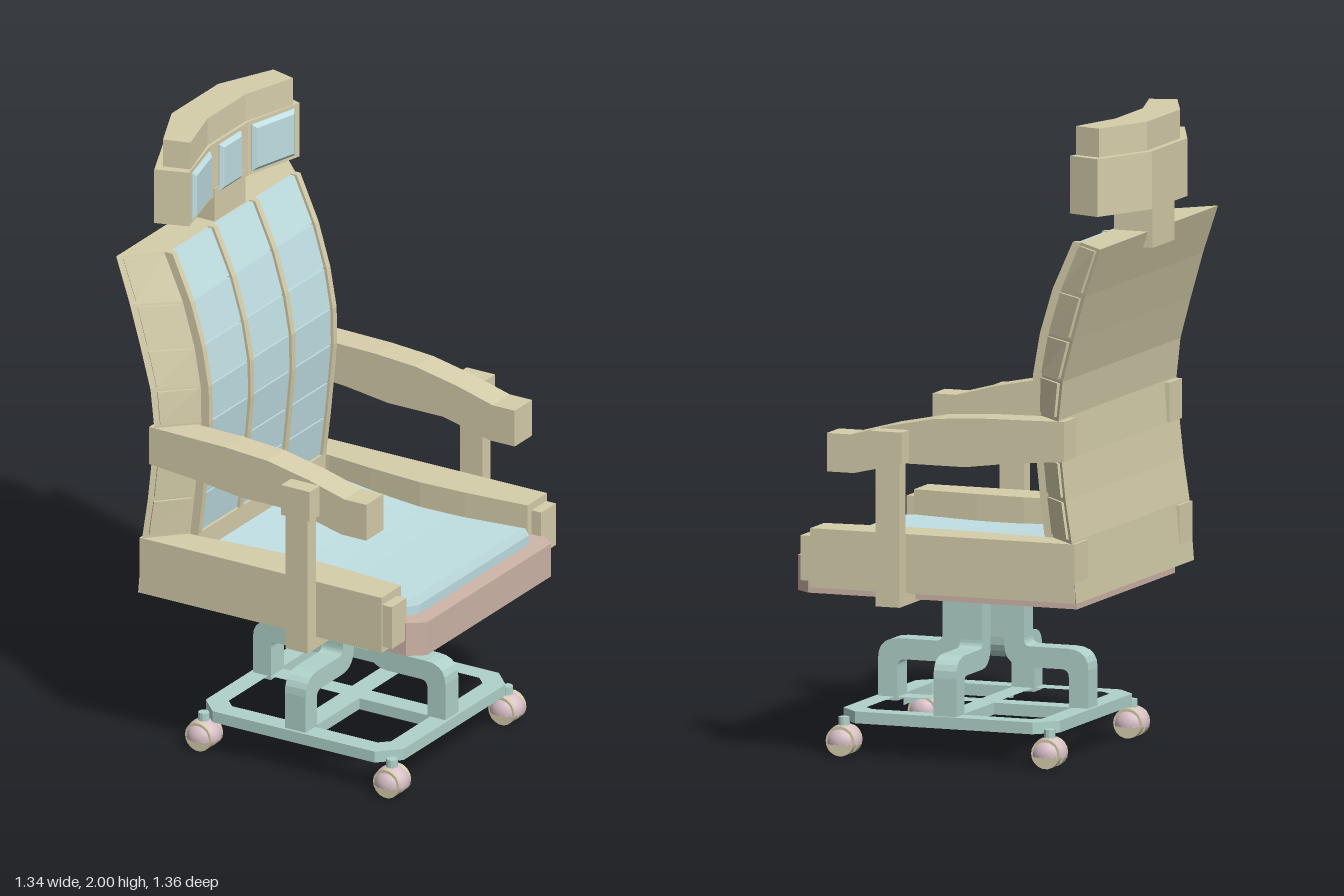
import * as THREE from 'three';

const mat = (color, flat = true) => new THREE.MeshStandardMaterial({ color, flatShading: flat });
const TAN = mat(0xd6ceab), GLASS = mat(0xc0dfe3), PINK = mat(0xcfb5a8), STEEL = mat(0xb0d2ca);
const HOOD = mat(0xd8bfc8, false), WHEEL = mat(0xd6ceab, false);

// backrest profile: height, front depth, rear depth
const BACK = [
  [0.54, -0.28, -0.42], [0.73, -0.278, -0.405], [0.86, -0.262, -0.385], [0.98, -0.25, -0.372],
  [1.11, -0.238, -0.362], [1.23, -0.24, -0.375], [1.36, -0.263, -0.41], [1.5, -0.305, -0.45],
  [1.65, -0.372, -0.5],
];

export function createModel() {
  const model = new THREE.Group();
  const chair = new THREE.Group();
  chair.name = 'chair';
  chair.rotation.y = 0.562;
  model.add(chair);

  const add = (name, geo, material, parent = chair) => {
    const m = new THREE.Mesh(geo, material);
    m.name = name;
    parent.add(m);
    return m;
  };
  const box = (name, x0, x1, y0, y1, z0, z1, material, parent) => {
    const m = add(name, new THREE.BoxGeometry(Math.abs(x1 - x0), y1 - y0, z1 - z0), material, parent);
    m.position.set((x0 + x1) / 2, (y0 + y1) / 2, (z0 + z1) / 2);
    return m;
  };
  const toShape = (pts, flip) => new THREE.Shape(pts.map(([a, b]) => new THREE.Vector2(a, flip ? -b : b)));
  // plan outline [x, z] raised from y0 to y1
  const prismY = (pts, y0, y1, holes = []) => {
    const s = toShape(pts, true);
    holes.forEach((h) => s.holes.push(toShape(h, true)));
    return new THREE.ExtrudeGeometry(s, { depth: y1 - y0, bevelEnabled: false })
      .rotateX(-Math.PI / 2).translate(0, y0, 0);
  };
  // side outline [z, y] spanning x0 to x1
  const prismX = (shape, x0, x1) =>
    new THREE.ExtrudeGeometry(shape, { depth: x1 - x0, bevelEnabled: false, curveSegments: 5 })
      .rotateY(-Math.PI / 2).translate(x1, 0, 0);
  // convex plan section lofted through backrest levels
  const loft = (levels, section) => {
    const rings = levels.map(([y, f, b]) => section(f, b).map(([x, z]) => [x, y, z]));
    const pos = [];
    const tri = (...p) => p.forEach((v) => pos.push(...v));
    const n = rings[0].length, top = rings[rings.length - 1];
    for (let k = 0; k + 1 < rings.length; k++) {
      for (let i = 0; i < n; i++) {
        const j = (i + 1) % n, A = rings[k], B = rings[k + 1];
        tri(A[i], A[j], B[j]);
        tri(A[i], B[j], B[i]);
      }
    }
    for (let i = 1; i + 1 < n; i++) {
      tri(top[0], top[i], top[i + 1]);
      tri(rings[0][0], rings[0][i + 1], rings[0][i]);
    }
    const g = new THREE.BufferGeometry();
    g.setAttribute('position', new THREE.Float32BufferAttribute(pos, 3));
    g.computeVertexNormals();
    return g;
  };
  const slab = (x0, x1, out, deep) => (f) => [[x0, f + out], [x1, f + out], [x1, f - deep], [x0, f - deep]];

  // backrest shell with angled side wings
  add('backrestShell', loft(BACK, (f, b) => [[-0.365, f - 0.015], [0.365, f - 0.015], [0.48, b], [-0.48, b]]), TAN);
  const upper = BACK.slice(1);
  for (const x of [-0.36, -0.12, 0.12, 0.36]) {
    add('backrestRib', loft(upper, slab(x - 0.011, x + 0.011, 0.008, 0.03)), TAN);
  }
  box('lowerBackStrip', -0.37, 0.37, 0.62, 0.73, -0.33, -0.272, TAN);

  // glazed panels and wing panels, row by row
  for (let k = 0; k + 1 < upper.length; k++) {
    const a = upper[k], b = upper[k + 1];
    const trim = (t) => a.map((v, i) => v + (b[i] - v) * t);
    const row = [trim(0.02), trim(0.98)];
    for (const x of [-0.24, 0, 0.24]) {
      add('backrestPanel', loft(row, slab(x - 0.107, x + 0.107, 0, 0.025)), GLASS);
    }
    for (const s of [-1, 1]) {
      const wing = (f, r) => {
        const at = (t, o) => [s * (0.365 + 0.115 * t + o), f - 0.015 + (r - f + 0.015) * t + o];
        const p = [at(0.12, 0.006), at(0.88, 0.006), at(0.88, -0.01), at(0.12, -0.01)];
        return s > 0 ? p : p.reverse();
      };
      add('wingPanel', loft([trim(0.06), trim(0.94)], wing), TAN);
    }
  }

  // headrest
  const mirror = (half) => [...half, ...half.map(([x, z]) => [-x, z]).reverse()];
  add('headrestBand', prismY(mirror([[0.11, -0.39], [0.32, -0.335], [0.355, -0.44], [0.145, -0.535]]), 1.73, 1.91), TAN);
  add('headrestCrown', prismY(mirror([[0.11, -0.40], [0.297, -0.345], [0.32, -0.43], [0.135, -0.515]]), 1.9, 2.0), TAN);
  box('headrestNeck', -0.09, 0.09, 1.6, 1.76, -0.515, -0.387, TAN);
  const pane = (width, x, z, turn) => {
    const w = width / 2 - 0.012, h = 0.066;
    const g = new THREE.ExtrudeGeometry(toShape([[-w, -h], [w, -h], [w, h], [-w, h]]),
      { depth: 0.004, bevelThickness: 0.01, bevelSize: 0.012, bevelSegments: 1 });
    const m = add('headrestPane', g, GLASS);
    m.position.set(x, 1.82, z);
    m.rotation.y = turn;
  };
  pane(0.125, 0, -0.39, 0);
  for (const s of [-1, 1]) pane(0.18, s * 0.21, -0.364, -s * 0.256);

  // seat base and cushion
  add('seatBase', prismY(mirror([[0.4, -0.39], [0.4, 0.505], [0.36, 0.555]]), 0.51, 0.62), PINK);
  const cushion = new THREE.BoxGeometry(0.75, 0.05, 0.78, 1, 1, 8);
  const p = cushion.attributes.position;
  for (let i = 0; i < p.count; i++) {
    const t = p.getZ(i) / 0.78 + 0.5;
    const x = t > 0.99 ? p.getX(i) * 0.85 : p.getX(i);
    const z = t > 0.85 && t < 0.99 ? 0.45 : p.getZ(i) + 0.11;
    const y = p.getY(i) > 0 ? 0.65 - 0.015 * Math.sin(Math.PI * t) + 0.015 * (1 - t) : 0.6;
    p.setXYZ(i, x, y, z);
  }
  add('seatCushion', cushion, GLASS);

  // rails, arms and posts on both sides
  const armShape = toShape([
    [-0.38, 0.98], [-0.2, 0.965], [-0.05, 0.945], [0.15, 0.945], [0.32, 0.905], [0.41, 0.905],
    [0.41, 1.025], [0.33, 1.025], [0.2, 1.06], [0.05, 1.09], [-0.1, 1.1], [-0.38, 1.105],
  ]);
  for (const s of [-1, 1]) {
    const side = new THREE.Group();
    side.name = s > 0 ? 'leftSide' : 'rightSide';
    chair.add(side);
    const rail = [[0.48, -0.415], [0.48, 0.465], [0.366, 0.465], [0.348, 0.25], [0.342, 0.09], [0.355, -0.1], [0.372, -0.26], [0.372, -0.415]];
    add('seatRail', prismY(rail.map(([x, z]) => [s * x, z]), 0.54, 0.725), TAN, side);
    box('railEndCap', s * 0.39, s * 0.475, 0.56, 0.7, 0.46, 0.5, TAN, side);
    add('armrest', prismX(armShape, Math.min(s * 0.38, s * 0.48), Math.max(s * 0.38, s * 0.48)), TAN, side);
    box('armPost', s * 0.482, s * 0.53, 0.505, 0.97, 0.147, 0.228, TAN, side);
    box('armPostCap', s * 0.47, s * 0.538, 0.95, 1.05, 0.136, 0.24, TAN, side);
    box('armPostFoot', s * 0.3, s * 0.53, 0.502, 0.538, 0.147, 0.228, TAN, side);
  }

  // pedestal: mount plate, four bent legs, square frame
  const base = new THREE.Group();
  base.name = 'base';
  base.position.z = 0.07;
  chair.add(base);
  const chamfered = (h, c) => [[h, c - h], [h, h - c], [h - c, h], [c - h, h], [-h, h - c], [-h, c - h], [c - h, -h], [h - c, -h]];
  add('mountPlate', prismY(chamfered(0.15, 0.07), 0.475, 0.512), STEEL, base);
  const leg = new THREE.Shape();
  leg.moveTo(0.07, 0.49);
  leg.lineTo(0.07, 0.33);
  leg.quadraticCurveTo(0.07, 0.26, 0.14, 0.26);
  leg.lineTo(0.26, 0.26);
  leg.quadraticCurveTo(0.285, 0.26, 0.285, 0.235);
  leg.lineTo(0.285, 0.13);
  leg.lineTo(0.35, 0.13);
  leg.lineTo(0.35, 0.26);
  leg.quadraticCurveTo(0.35, 0.325, 0.28, 0.325);
  leg.lineTo(0.155, 0.325);
  leg.quadraticCurveTo(0.135, 0.325, 0.135, 0.35);
  leg.lineTo(0.135, 0.49);
  for (let i = 0; i < 4; i++) {
    add('bentLeg', prismX(leg, -0.038, 0.038), STEEL, base).rotation.y = i * Math.PI / 2;
  }
  const holes = [];
  for (const sx of [-1, 1]) for (const sz of [-1, 1]) {
    holes.push([[0.035, 0.035], [0.295, 0.035], [0.295, 0.265], [0.265, 0.295], [0.035, 0.295]].map(([x, z]) => [sx * x, sz * z]));
  }
  add('baseFrame', prismY(chamfered(0.36, 0.065), 0.105, 0.142, holes), STEEL, base);

  // casters: twin wheels under a rounded hood
  for (const sx of [-1, 1]) for (const sz of [-1, 1]) {
    const caster = new THREE.Group();
    caster.name = 'caster';
    caster.position.set(sx * 0.334, 0, sz * 0.342);
    base.add(caster);
    add('casterStem', new THREE.CylinderGeometry(0.018, 0.018, 0.05, 10), STEEL, caster).position.y = 0.095;
    const hood = add('casterHood', new THREE.SphereGeometry(0.055, 18, 10, 0, Math.PI * 2, 0, Math.PI * 0.55), HOOD, caster);
    hood.position.y = 0.045;
    hood.scale.y = 0.95;
    add('casterHub', new THREE.CylinderGeometry(0.0545, 0.0545, 0.006, 18), HOOD, caster).position.y = 0.04;
    for (const w of [-1, 1]) {
      const wheel = add('casterWheel', new THREE.CylinderGeometry(0.047, 0.047, 0.026, 18), WHEEL, caster);
      wheel.rotation.z = Math.PI / 2;
      wheel.position.set(w * 0.023, 0.047, 0);
    }
  }
  return model;
}
